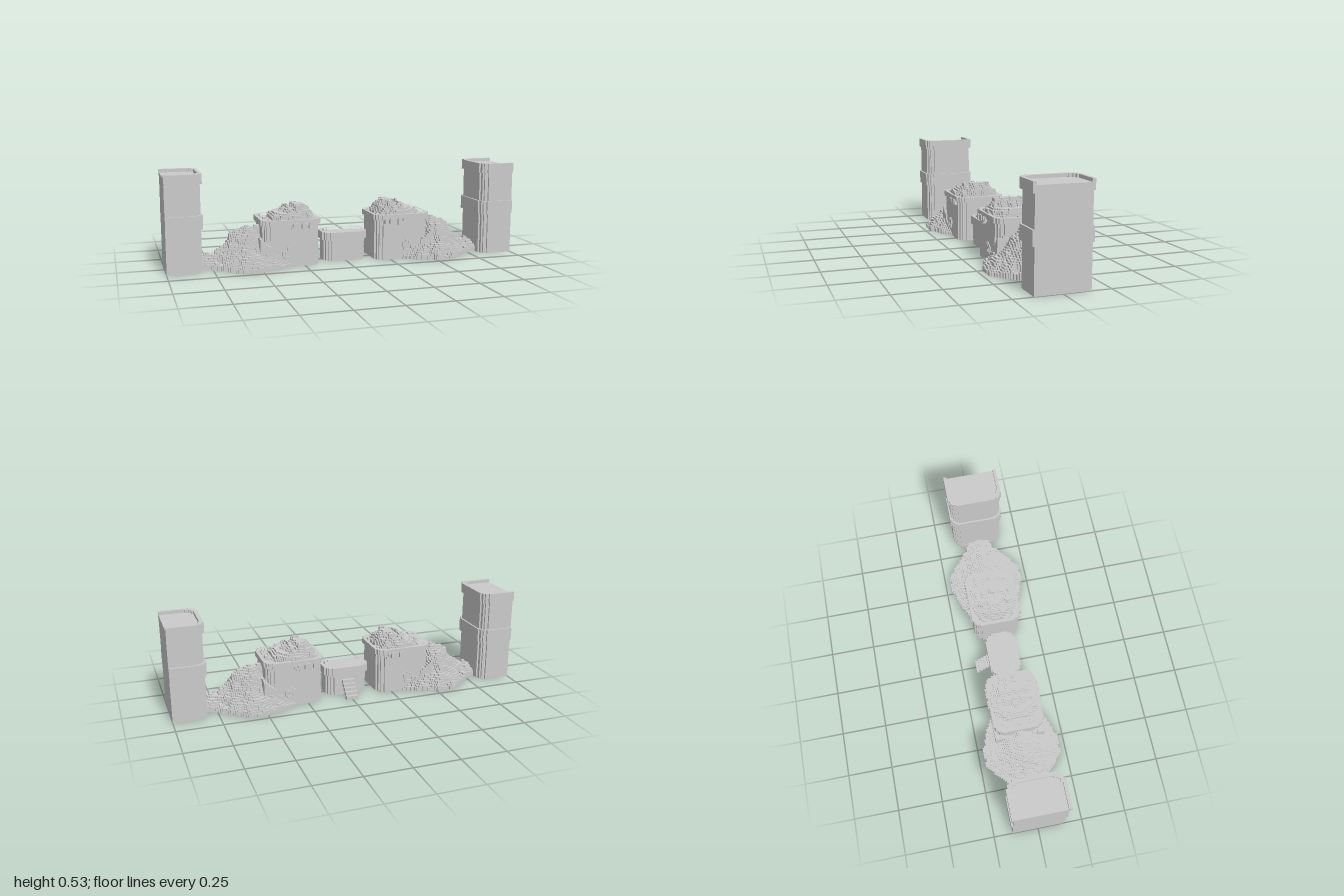
import * as THREE from 'three';

const material = new THREE.MeshStandardMaterial({ color: 0xcccccc, flatShading: true });
const U = 0.01; // size of one block

// Stepped round corner: inset along x, inset along z
const CORNER = [[0, 0.04], [0.01, 0.04], [0.01, 0.02], [0.02, 0.02], [0.02, 0.01], [0.04, 0.01], [0.04, 0]];

// Half outline running from the edge x1 round the stepped end x0 and back
function halfOutline(x0, x1, z) {
  const d = Math.sign(x1 - x0);
  const near = CORNER.map(([a, b]) => [x0 + d * a, z - b]);
  const far = near.map(([x, y]) => [x, -y]).reverse();
  return [[x1, -z], ...far, ...near, [x1, z]];
}

// Closed outline with four stepped corners
function fullOutline(x0, x1, z) {
  const mid = (x0 + x1) / 2;
  return [...halfOutline(x0, mid, z).slice(1, -1), ...halfOutline(x1, mid, z).slice(1, -1).reverse()];
}

const toVectors = (points) => points.map(([x, y]) => new THREE.Vector2(x, y));

// Upright prism from an outline, with an optional hole
function prism(group, name, points, y0, y1, hole) {
  const shape = new THREE.Shape(toVectors(points));
  if (hole) shape.holes.push(new THREE.Path(toVectors(hole)));
  const geometry = new THREE.ExtrudeGeometry(shape, { depth: y1 - y0, bevelEnabled: false });
  geometry.rotateX(-Math.PI / 2).translate(0, y0, 0);
  const mesh = new THREE.Mesh(geometry, material);
  mesh.name = name;
  group.add(mesh);
}

// Seeded value noise, 0..1
function hash(i, j, k) {
  let n = Math.imul(i, 374761393) ^ Math.imul(j, 668265263) ^ Math.imul(k, 1274126177);
  n = Math.imul(n ^ (n >>> 13), 1103515245);
  return ((n ^ (n >>> 16)) >>> 0) / 4294967296;
}
function noise(x, y, z, cell) {
  const p = [x / cell, y / cell, z / cell];
  const i = p.map(Math.floor);
  const f = p.map((v, n) => v - i[n]);
  let sum = 0;
  for (let c = 0; c < 8; c++) {
    const o = [c & 1, (c >> 1) & 1, c >> 2];
    const w = o.reduce((acc, bit, n) => acc * (bit ? f[n] : 1 - f[n]), 1);
    sum += w * hash(i[0] + o[0], i[1] + o[1], i[2] + o[2]);
  }
  return sum;
}

// Block mesh of every cell where solid(x, y, z) holds; hidden faces are skipped
function blocks(group, name, min, max, solid) {
  const size = min.map((v, n) => Math.round((max[n] - v) / U));
  const filled = (c) => c.every((v, n) => v >= 0 && v < size[n])
    && solid(...c.map((v, n) => min[n] + (v + 0.5) * U));
  const positions = [];
  for (let i = 0; i < size[0]; i++) for (let j = 0; j < size[1]; j++) for (let k = 0; k < size[2]; k++) {
    const cell = [i, j, k];
    if (!filled(cell)) continue;
    for (let a = 0; a < 3; a++) for (const side of [0, 1]) {
      const next = [...cell];
      next[a] += side ? 1 : -1;
      if (filled(next)) continue;
      const corners = [[0, 0], [1, 0], [1, 1], [0, 1]].map(([p, q]) => {
        const v = [...cell];
        v[a] += side;
        v[(a + 1) % 3] += p;
        v[(a + 2) % 3] += q;
        return v.map((t, n) => min[n] + t * U);
      });
      if (!side) corners.reverse();
      for (const n of [0, 1, 2, 0, 2, 3]) positions.push(...corners[n]);
    }
  }
  const geometry = new THREE.BufferGeometry();
  geometry.setAttribute('position', new THREE.Float32BufferAttribute(positions, 3));
  geometry.computeVertexNormals();
  const mesh = new THREE.Mesh(geometry, material);
  mesh.name = name;
  group.add(mesh);
}

// Linear lookup in a table of evenly spaced values
function lookup(table, start, step, x) {
  const t = Math.min(Math.max((x - start) / step, 0), table.length - 1.001);
  const i = Math.floor(t);
  return table[i] + (table[i + 1] - table[i]) * (t - i);
}

// Rocky slope: half width and ridge height every 0.05 from x = 0.3
const WIDTH = [0.12, 0.15, 0.175, 0.2, 0.212, 0.222, 0.215, 0.185, 0.13, 0.09, 0.065];
const RIDGE = [0.05, 0.08, 0.13, 0.17, 0.19, 0.2, 0.18, 0.145, 0.1, 0.06, 0.03];
function slopeSolid(px, y, pz) {
  const x = Math.abs(px), z = Math.abs(pz);
  const w = lookup(WIDTH, 0.3, 0.05, x) + 0.02 * (noise(x, 0, z, 0.03) - 0.5);
  if (z > w) return false;
  const rough = noise(x, y, z, 0.035) - 0.5;
  let h = lookup(RIDGE, 0.3, 0.05, x) * (1 - z / w) + 0.02 + 0.06 * rough * (z < 0.14 ? 1 : 0.4);
  // Growth clinging to the planter wall
  if (x < 0.5 && z < 0.145) h = Math.max(h, (x - 0.33) * 0.9 + 0.05 * rough + 0.01);
  const tuft = Math.hypot(x - 0.35, y - 0.08) < 0.035 && z < 0.145 && hash(Math.round(x / U), Math.round(y / U), 5) > 0.35;
  return y < Math.max(h, 0.012) || tuft;
}

// Bushy top of a planter: height every 0.05 from x = 0.16
const BUSH = [0.27, 0.325, 0.325, 0.31, 0.3, 0.285, 0.25];
function bushSolid(px, y, pz) {
  const x = Math.abs(px), z = Math.abs(pz);
  const rough = noise(x, y, z, 0.025) - 0.5;
  const r = Math.hypot((x - 0.32) / 0.15, z / 0.13);
  const h = 0.24 + (lookup(BUSH, 0.16, 0.05, x) - 0.24) * (1.05 - 0.75 * r ** 3) + 0.05 * rough;
  if (y > 0.24) return r < 1.05 + 0.25 * rough && y < Math.min(h, 0.33);
  // Leaves hanging over the rim
  const hang = Math.hypot((x - 0.24) / 0.035, (y - 0.23) / 0.025) < 1 || Math.hypot((x - 0.31) / 0.025, (y - 0.22) / 0.025) < 1;
  return hang && z > 0.12 && hash(Math.round(x / U), Math.round(y / U), 9) > 0.35;
}

function addTower(root, s) {
  const tower = new THREE.Group();
  tower.name = s > 0 ? 'leftTower' : 'rightTower';
  const band = halfOutline(s * 0.8, s, 0.155);
  prism(tower, 'towerBody', halfOutline(s * 0.81, s, 0.145), 0, 0.5, null);
  prism(tower, 'middleBand', band, 0.233, 0.31);
  prism(tower, 'topBand', band, 0.475, 0.512);
  // The parapet is open on the outer side
  prism(tower, 'parapet', [...band, ...halfOutline(s * 0.82, s, 0.137).reverse()], 0.512, 0.53);
  root.add(tower);
}

// Box-shaped planter with an overhanging hollow rim
function addPlanter(root, name, x0, x1, z, rimBottom, rimTop) {
  const planter = new THREE.Group();
  planter.name = name;
  const rim = fullOutline(x0, x1, z);
  prism(planter, 'planterBody', fullOutline(x0 + U, x1 - U, z - U), 0, rimBottom);
  prism(planter, 'rimBase', rim, rimBottom, rimTop - 0.015);
  prism(planter, 'rimWall', rim, rimTop - 0.015, rimTop, fullOutline(x0 + 0.018, x1 - 0.018, z - 0.018));
  root.add(planter);
  return planter;
}

export function createModel() {
  const root = new THREE.Group();
  root.name = 'blockLandscape';

  for (const s of [1, -1]) {
    const range = (a, b) => (s > 0 ? [a, b] : [-b, -a]);
    addTower(root, s);
    const planter = addPlanter(root, s > 0 ? 'leftPlanter' : 'rightPlanter', ...range(0.155, 0.49), 0.142, 0.23, 0.26);
    const [b0, b1] = range(0.16, 0.49);
    blocks(planter, 'bush', [b0, 0.19, -0.15], [b1, 0.34, 0.15], bushSolid);
    const [m0, m1] = range(0.31, 0.81);
    blocks(root, s > 0 ? 'leftSlope' : 'rightSlope', [m0, 0, -0.23], [m1, 0.22, 0.23], slopeSolid);
  }

  addPlanter(root, 'centreBasin', -0.13, 0.13, 0.088, 0.12, 0.165);

  // Open flight of steps at the back of the basin
  const stairs = new THREE.Group();
  stairs.name = 'stairs';
  for (let i = 0; i < 5; i++) {
    const step = new THREE.Mesh(new THREE.BoxGeometry(0.07, 0.02, 0.02), material);
    step.name = 'step';
    step.position.set(0, 0.082 - i * 0.018, -0.087 - i * 0.017);
    stairs.add(step);
  }
  root.add(stairs);
  return root;
}
